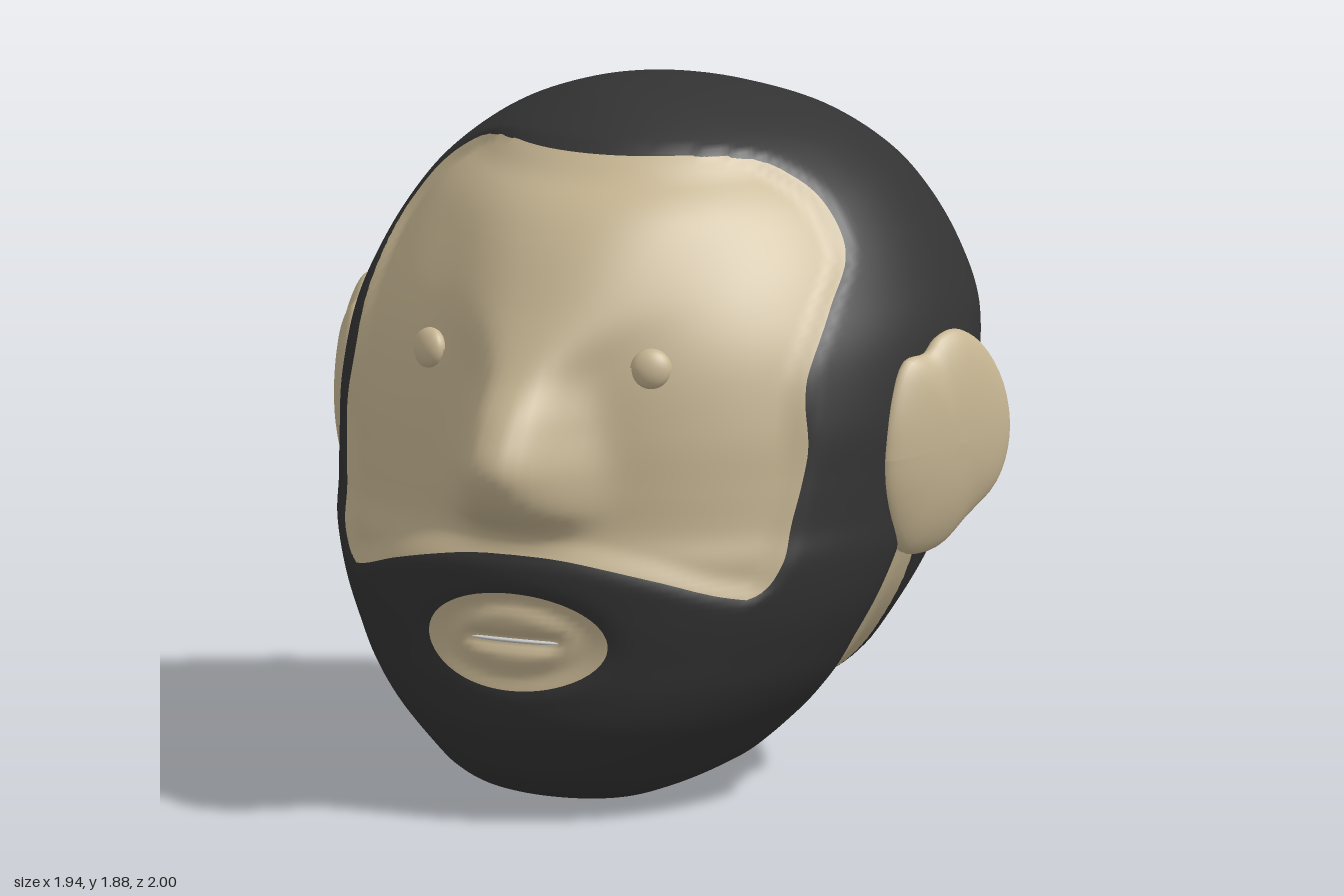
import * as THREE from 'three';

const skin = new THREE.MeshStandardMaterial({ color: 0xc6b592 });
const hair = new THREE.MeshStandardMaterial({ color: 0x333333 });
const teeth = new THREE.MeshStandardMaterial({ color: 0xcccccc });

// smooth curve through [key, value, value...] points
function curve(points) {
  const n = points[0].length - 1;
  const c = new THREE.CubicInterpolant(points.map(p => p[0]), points.flatMap(p => p.slice(1)), n, new Float32Array(n));
  return t => c.evaluate(t);
}
const smooth = (a, b, t) => THREE.MathUtils.smoothstep(t, a, b);

// horizontal head sections: height, front z, back z, half width, z of widest point
const sections = [
  [0, .40, .40, 0, .40], [.015, .52, .29, .16, .40], [.05, .65, .1, .275, .38],
  [.09, .72, -.16, .365, .32], [.14, .77, -.3, .44, .25], [.25, .83, -.43, .56, .2],
  [.35, .845, -.54, .645, .17], [.45, .845, -.65, .705, .14], [.57, .845, -.77, .765, .1],
  [.70, .84, -.895, .808, .05], [.80, .81, -.945, .825, 0], [.92, .80, -.985, .84, -.05],
  [1.07, .785, -1, .85, -.1], [1.25, .75, -.985, .835, -.17], [1.4, .69, -.935, .78, -.2],
  [1.54, .59, -.87, .70, -.2], [1.66, .485, -.765, .60, -.2], [1.77, .34, -.59, .45, -.2],
  [1.84, .18, -.4, .27, -.18], [1.867, .05, -.28, .13, -.16], [1.875, -.15, -.15, 0, -.15],
];
const section = curve(sections.map((s, i) => [i, ...s]));

// hairline, beard line, neck edges and nose ridge
const hairline = curve([[.58, .66], [.63, .56], [.7, .51], [.85, .46], [1, .42], [1.15, .405], [1.22, .38],
  [1.38, .25], [1.5, .12], [1.6, .08], [1.7, .09], [1.75, .15], [1.78, .3]]);
const beardLine = curve([[0, .74], [.1, .737], [.2, .725], [.4, .68], [.55, .63], [.62, .615], [.9, .61]]);
const neckFront = curve([[0, .22], [.05, .2], [.25, .16], [.5, .13], [.72, .07]]);
const neckBack = curve([[0, -.6], [.13, -.4], [.2, -.28], [.28, -.18], [.45, -.1], [.72, -.05]]);
const noseHeight = curve([[.74, 0], [.77, .015], [.81, .055], [.865, .15], [.95, .225], [1, .24], [1.12, .195],
  [1.24, .115], [1.39, .06], [1.575, .06], [1.68, .045], [1.74, .015], [1.77, 0]]);
const noseWidth = curve([[.74, .18], [.95, .17], [1.1, .15], [1.24, .15], [1.4, .25], [1.76, .4]]);

const mouthMask = (x, y, z) => z < .3 ? -1 : .13 * (1 - Math.hypot(x / .27, (y - .5) / .135));

// positive on bare skin, negative under hair
function skinMask(x, y, z) {
  const yc = THREE.MathUtils.clamp(y, .58, 1.78);
  const face = Math.min(y - beardLine(Math.abs(x))[0], 1.765 - y, z - hairline(yc)[0]);
  const yn = Math.min(y, .72);
  const neck = Math.min(neckFront(yn)[0] - z, z - neckBack(yn)[0], .72 - y);
  return Math.max(face, neck, mouthMask(x, y, z));
}

function headPoint(row, angle) {
  const [y, front, back, width, mid] = section(row);
  const c = Math.cos(angle), s = Math.sin(angle);
  // the back of the head is a little squarer than an ellipse
  const x = width * Math.sign(s) * Math.abs(s) ** (c < 0 ? .93 : 1);
  const z = mid + (c > 0 ? front - mid : mid - back) * c;
  const p = new THREE.Vector3(x, y, z), m = skinMask(x, y, z);
  // skin lies a little lower than the hair, less so under the neck
  const inward = new THREE.Vector3(x, (y - .95) * .6, z - mid).normalize();
  p.addScaledVector(inward, -(.008 + .022 * smooth(.1, .4, y)) * smooth(-.03, .06, m));
  if (z > 0 && y > .74 && y < 1.77) {
    p.z += Math.max(0, noseHeight(y)[0]) * Math.exp(-(Math.abs(x / noseWidth(y)[0]) ** 2.8));
  }
  // lips with a groove between
  p.z += .025 * smooth(.02, .07, mouthMask(x, y, z));
  if (z > .3) p.z -= .03 * Math.exp(-(((y - .495) / .022) ** 2)) * (1 - smooth(.12, .17, Math.abs(x)));
  return { p, m };
}

// head surface cut along the mask into a skin mesh and a hair mesh
function buildHead(group) {
  const steps = 8, rows = (sections.length - 1) * steps, cols = 192, pos = [], mask = [], index = [];
  for (let j = 0; j <= rows; j++) for (let i = 0; i < cols; i++) {
    const { p, m } = headPoint(j / steps, i / cols * Math.PI * 2);
    pos.push(p.x, p.y, p.z);
    mask.push(m);
  }
  for (let j = 0; j < rows; j++) for (let i = 0; i < cols; i++) {
    const a = j * cols + i, b = j * cols + (i + 1) % cols, c = b + cols, d = a + cols;
    if (j > 0) index.push(a, b, c);
    if (j < rows - 1) index.push(a, c, d);
  }
  const whole = new THREE.BufferGeometry();
  whole.setAttribute('position', new THREE.Float32BufferAttribute(pos, 3));
  whole.setIndex(index);
  whole.computeVertexNormals();
  const normals = whole.attributes.normal;
  for (let i = 0; i < cols; i++) {
    normals.setXYZ(i, 0, -1, 0);
    normals.setXYZ(rows * cols + i, 0, 1, 0);
  }
  const corner = k => ({
    p: new THREE.Vector3().fromArray(pos, k * 3),
    n: new THREE.Vector3().fromBufferAttribute(normals, k), m: mask[k],
  });
  for (const [name, material, sign] of [['skin', skin, 1], ['hairAndBeard', hair, -1]]) {
    const P = [], N = [];
    for (let t = 0; t < index.length; t += 3) {
      const tri = [0, 1, 2].map(k => corner(index[t + k])), poly = [];
      tri.forEach((a, k) => {
        const b = tri[(k + 1) % 3];
        if (a.m * sign >= 0) poly.push(a);
        if (a.m * b.m < 0) {
          const f = a.m / (a.m - b.m);
          poly.push({ p: a.p.clone().lerp(b.p, f), n: a.n.clone().lerp(b.n, f).normalize() });
        }
      });
      for (let k = 1; k + 1 < poly.length; k++) for (const v of [poly[0], poly[k], poly[k + 1]]) {
        P.push(...v.p);
        N.push(...v.n);
      }
    }
    const g = new THREE.BufferGeometry();
    g.setAttribute('position', new THREE.Float32BufferAttribute(P, 3));
    g.setAttribute('normal', new THREE.Float32BufferAttribute(N, 3));
    add(group, name, g, material);
  }
}

function add(group, name, geometry, material) {
  const mesh = new THREE.Mesh(geometry, material);
  mesh.name = name;
  group.add(mesh);
  return mesh;
}

// ear: a sphere flattened into an outline, leaning outward to the back
function earGeometry(side) {
  const outline = new THREE.CatmullRomCurve3([[.18, .95], [.15, 1.1], [.08, 1.21], [0, 1.22], [-.05, 1.255],
    [-.12, 1.267], [-.2, 1.22], [-.27, 1.1], [-.29, .95], [-.25, .82], [-.15, .74], [-.06, .67], [.07, .68], [.16, .82]]
    .map(([z, y]) => new THREE.Vector3(0, y, z)), true);
  const g = new THREE.SphereGeometry(1, 56, 24), pos = g.attributes.position, uv = g.attributes.uv;
  const centre = new THREE.Vector3(0, .97, -.05);
  for (let i = 0; i < pos.count; i++) {
    const theta = (1 - uv.getY(i)) * Math.PI;
    const u = THREE.MathUtils.euclideanModulo(-side * uv.getX(i), 1);
    const q = centre.clone().lerp(outline.getPoint(u), Math.sin(theta) ** .8);
    const dy = q.y - .99;
    const lean = .815 + .3 * (.16 - q.z) - (dy < 0 ? .4 : .3) * dy ** 2;
    pos.setXYZ(i, side * (lean + .055 * Math.cos(theta)), q.y, q.z);
  }
  g.computeVertexNormals();
  return g;
}

export function createModel() {
  const head = new THREE.Group();
  head.name = 'head';
  buildHead(head);

  for (const side of [1, -1]) {
    const label = side > 0 ? 'left' : 'right';
    add(head, label + 'Ear', earGeometry(side), skin);

    // eye closed by two lids, the upper one overlapping the lower
    const eye = new THREE.Group();
    eye.name = label + 'Eye';
    add(eye, 'upperLid', new THREE.SphereGeometry(.057, 24, 10, 0, Math.PI * 2, 0, Math.PI / 2), skin);
    add(eye, 'lowerLid', new THREE.SphereGeometry(.053, 24, 16), skin);
    eye.position.set(side * .332, 1.25, .65);
    eye.rotation.set(-.2, side * .45, 0);
    eye.scale.z = .6;
    head.add(eye);
  }

  // teeth showing in the slit of the mouth
  for (const [name, y] of [['upperTeeth', .503], ['lowerTeeth', .488]]) {
    const row = add(head, name, new THREE.SphereGeometry(1, 24, 10), teeth);
    row.scale.set(.14, .008, .025);
    row.position.set(0, y, .8);
  }
  return head;
}
